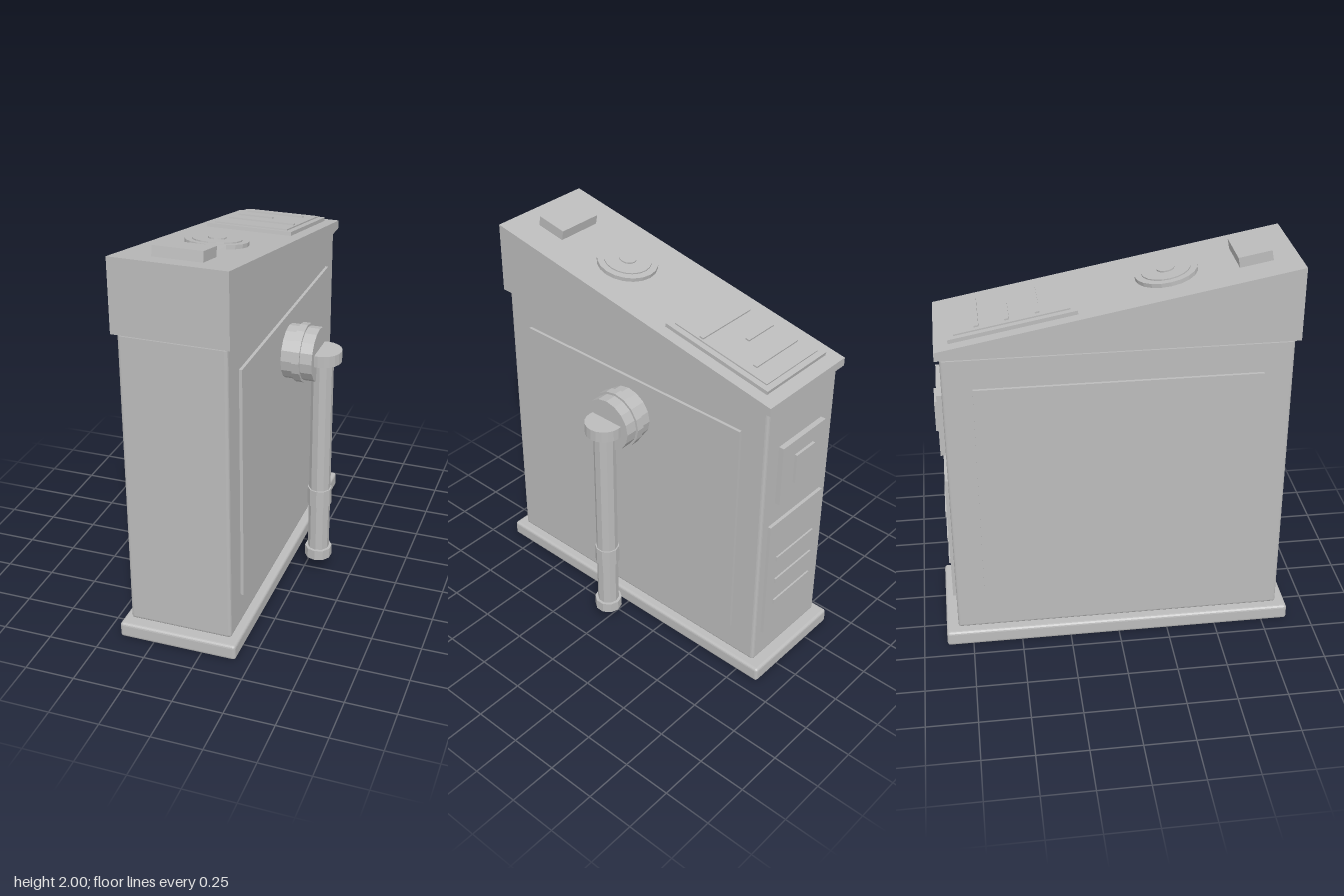
import * as THREE from 'three';
import { RoundedBoxGeometry } from 'three/addons/geometries/RoundedBoxGeometry.js';

export function createModel() {
  const grey = new THREE.MeshStandardMaterial({ color: 0xbbbbbb, flatShading: true });
  grey.name = 'grey';
  const model = new THREE.Group();
  model.name = 'console';
  const CX = -0.125; // centre of the cabinet

  const add = (name, geometry, x, y, z, parent = model) => {
    const mesh = new THREE.Mesh(geometry, grey);
    mesh.name = name;
    mesh.position.set(x, y, z);
    parent.add(mesh);
    return mesh;
  };
  const box = (name, w, h, d, x, y, z, parent) =>
    add(name, new THREE.BoxGeometry(w, h, d), x, y, z, parent);
  const rod = (name, r, y0, y1, sides, x, z, parent) =>
    add(name, new THREE.CylinderGeometry(r, r, y1 - y0, sides), x, (y0 + y1) / 2, z, parent);

  // Base and cabinet
  add('base', new RoundedBoxGeometry(0.6, 0.08, 1.765, 2, 0.015), CX, 0.04, 0);
  add('cabinet', new RoundedBoxGeometry(0.52, 1.53, 1.65, 2, 0.015), CX, 0.848, 0.003);

  // Wedge head, extruded across the width
  const backZ = -0.845, frontZ = 0.85, backY = 1.655, frontY = 1.975;
  const side = new THREE.Shape([
    new THREE.Vector2(-frontZ, 1.613), new THREE.Vector2(-backZ, 1.613),
    new THREE.Vector2(-backZ, backY), new THREE.Vector2(-frontZ, frontY),
  ]);
  const head = new THREE.ExtrudeGeometry(side, { depth: 0.56, bevelEnabled: false });
  head.rotateY(Math.PI / 2);
  add('head', head, CX - 0.28, 0, 0);

  // Side panels
  for (const s of [-1, 1])
    box(s > 0 ? 'leftPanel' : 'rightPanel', 0.03, 1.205, 1.365, CX + s * 0.26, 0.8475, 0.0025);

  // Back plates, with their middle block and bars
  box('backUpperPlate', 0.325, 0.325, 0.04, CX, 1.2125, -0.829);
  box('backBlock', 0.14, 0.16, 0.03, CX, 1.215, -0.848);
  box('backLowerPlate', 0.41, 0.685, 0.03, CX, 0.5875, -0.824);
  for (const y of [0.42, 0.56, 0.7]) box('backBar', 0.29, 0.028, 0.02, CX, y, -0.838);

  // Sloped top: local y points out of the slope, local z runs along it
  const slope = (frontY - backY) / (frontZ - backZ);
  const tilt = Math.atan(slope);
  const top = new THREE.Group();
  top.name = 'topControls';
  top.position.set(CX, backY - backZ * slope, 0);
  top.rotation.x = -tilt;
  model.add(top);
  const along = z => z / Math.cos(tilt);

  box('button', 0.24, 0.06, 0.16, 0, 0.02, along(0.655), top);
  rod('dial', 0.15, -0.01, 0.02, 20, 0, along(0.255), top);
  rod('dialRing', 0.117, 0, 0.026, 20, 0, along(0.255), top);
  rod('dialKnob', 0.042, 0, 0.033, 16, 0, along(0.255), top);

  box('screenFrame', 0.44, 0.03, 0.605, 0, 0.004, along(-0.48), top);
  box('screen', 0.38, 0.03, 0.545, 0, 0.011, along(-0.48), top);
  for (const [z, w] of [[-0.64, 0.305], [-0.5, 0.185], [-0.36, 0.345]])
    box('screenLine', w, 0.02, 0.022, -0.165 + w / 2, 0.024, along(z), top);

  // Crank hub on the left side
  const hub = new THREE.Group();
  hub.name = 'crankHub';
  hub.position.set(0, 1.253, 0);
  hub.rotation.z = -Math.PI / 2; // local y becomes +x
  model.add(hub);
  rod('hubDrum', 0.136, 0.12, 0.307, 16, 0, 0, hub);
  rod('hubFlange', 0.148, 0.207, 0.246, 16, 0, 0, hub);

  // Hanging crank handle
  const handleX = 0.325;
  rod('crankCap', 0.095, 1.225, 1.284, 20, handleX, 0);
  rod('crankRod', 0.055, 0.12, 1.24, 10, handleX, 0);
  rod('crankGrip', 0.062, 0.41, 0.505, 10, handleX, 0);
  rod('crankFoot', 0.07, 0.095, 0.15, 10, handleX, 0);

  return model;
}
